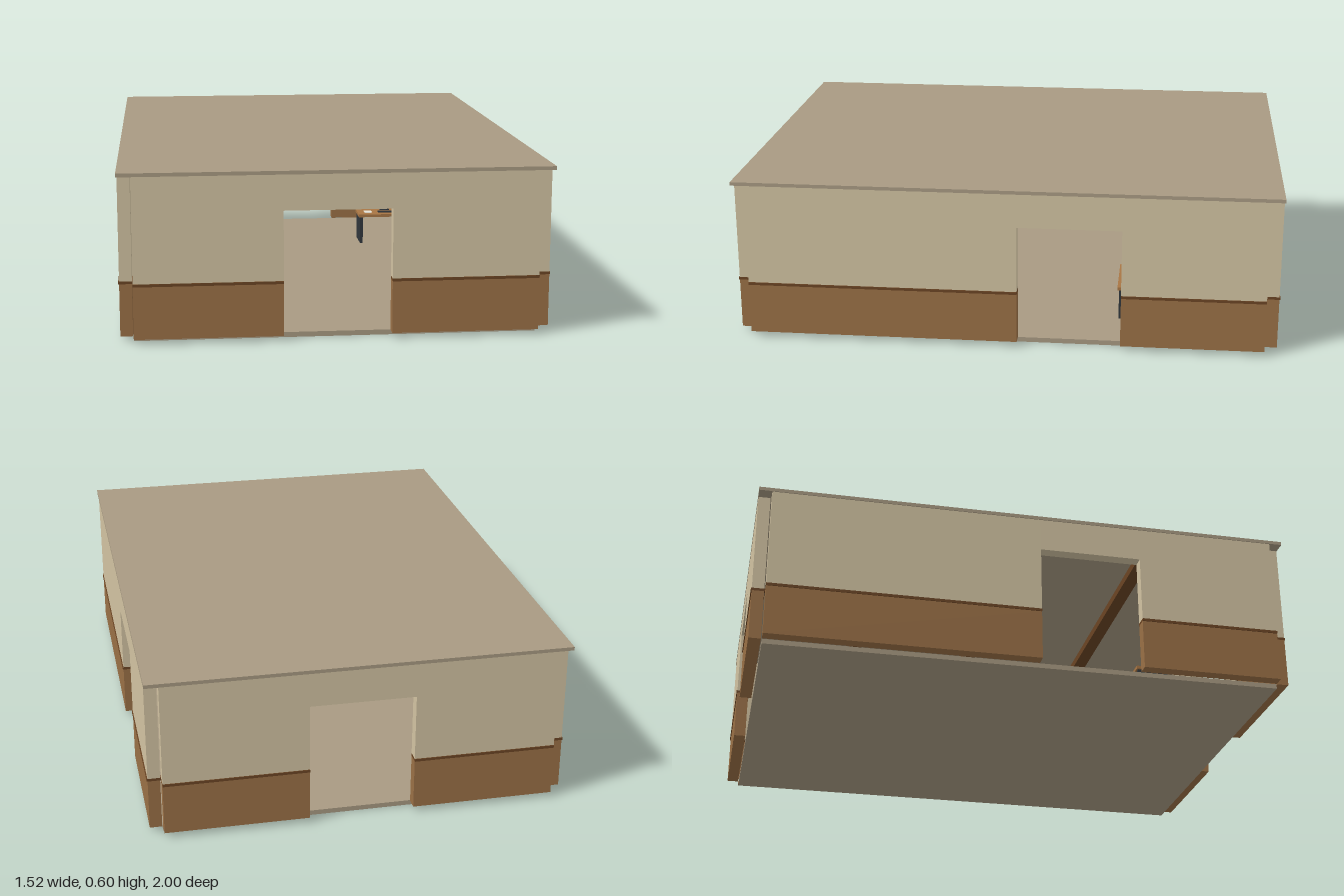
import * as THREE from 'three';

const mat = (name, color) => {
  const m = new THREE.MeshStandardMaterial({ color });
  m.name = name;
  return m;
};

export function createModel() {
  const plaster = mat('cream plaster', 0xd2c3a2);
  const slab = mat('stone beige', 0xa89a82);
  const wood = mat('brown panelling', 0x9a7046);
  const trimWood = mat('dark wood trim', 0x6b4524);
  const deskWood = mat('desk wood', 0xa87644);
  const dark = mat('dark metal', 0x30363c);
  const screen = mat('screen blue grey', 0x4a5a68);
  const paper = mat('paper white', 0xe6e2d6);

  const model = new THREE.Group();
  model.name = 'officeBuilding';

  // Box given by its minimum and maximum corners
  const box = (parent, name, material, x0, x1, y0, y1, z0, z1) => {
    const mesh = new THREE.Mesh(new THREE.BoxGeometry(x1 - x0, y1 - y0, z1 - z0), material);
    mesh.position.set((x0 + x1) / 2, (y0 + y1) / 2, (z0 + z1) / 2);
    mesh.name = name;
    parent.add(mesh);
    return mesh;
  };

  // Floor and roof
  box(model, 'floor', slab, -0.71, 0.71, 0, 0.018, -0.95, 0.95);
  box(model, 'roof', slab, -0.76, 0.76, 0.589, 0.602, -0.998, 0.998);

  // Wall running along local x with its outside towards +z, and one doorway
  const makeWall = (name, half, distance, door, angle) => {
    const wall = new THREE.Group();
    wall.name = name;
    const inner = distance - 0.047, outer = distance - 0.003;
    const d0 = door - 0.19, d1 = door + 0.19;
    for (const [a, b] of [[-half, d0], [d1, half]]) {
      box(wall, 'wainscot', wood, a, b, 0.018, 0.205, inner, outer);
      box(wall, 'wainscotTrim', trimWood, a, b, 0.205, 0.215, inner - 0.003, distance);
      box(wall, 'upperWall', plaster, a, b, 0.215, 0.589, inner, outer);
    }
    box(wall, 'doorLintel', plaster, d0, d1, 0.463, 0.589, inner, outer);
    wall.rotation.y = angle;
    model.add(wall);
  };
  makeWall('frontWall', 0.71, 1, 0, 0);
  makeWall('backWall', 0.71, 1, 0, Math.PI);
  makeWall('leftWall', 0.95, 0.76, 0.237, Math.PI / 2);
  makeWall('rightWall', 0.95, 0.76, 0.237, -Math.PI / 2);

  // Ceiling beams
  for (const z of [-0.5, 0, 0.5]) {
    box(model, 'ceilingBeam', trimWood, -0.71, 0.71, 0.56, 0.589, z - 0.025, z + 0.025);
  }

  // Desk with end panels, a monitor on its outer edge, a keyboard and papers
  const makeDesk = (name, x, z, angle) => {
    const desk = new THREE.Group();
    desk.name = name;
    box(desk, 'deskTop', deskWood, -0.125, 0.125, 0.135, 0.147, -0.066, 0.066);
    for (const s of [-1, 1]) {
      box(desk, 'deskEndPanel', dark, s * 0.113 - 0.006, s * 0.113 + 0.006, 0.018, 0.135, -0.06, 0.06);
    }
    box(desk, 'monitorBase', dark, -0.02, 0.02, 0.147, 0.15, 0.025, 0.055);
    box(desk, 'monitorStand', dark, -0.006, 0.006, 0.15, 0.165, 0.042, 0.048);
    box(desk, 'monitor', dark, -0.045, 0.045, 0.157, 0.205, 0.038, 0.046);
    box(desk, 'monitorScreen', screen, -0.041, 0.041, 0.161, 0.201, 0.036, 0.038);
    box(desk, 'keyboard', dark, -0.035, 0.035, 0.147, 0.151, -0.03, -0.006);
    box(desk, 'papers', paper, 0.062, 0.095, 0.147, 0.149, -0.03, 0.012);
    desk.position.set(x, 0, z);
    desk.rotation.y = angle;
    model.add(desk);
  };
  makeDesk('frontDesk', -0.375, 0.545, 0);
  makeDesk('backDesk', 0.375, -0.47, Math.PI);

  return model;
}
